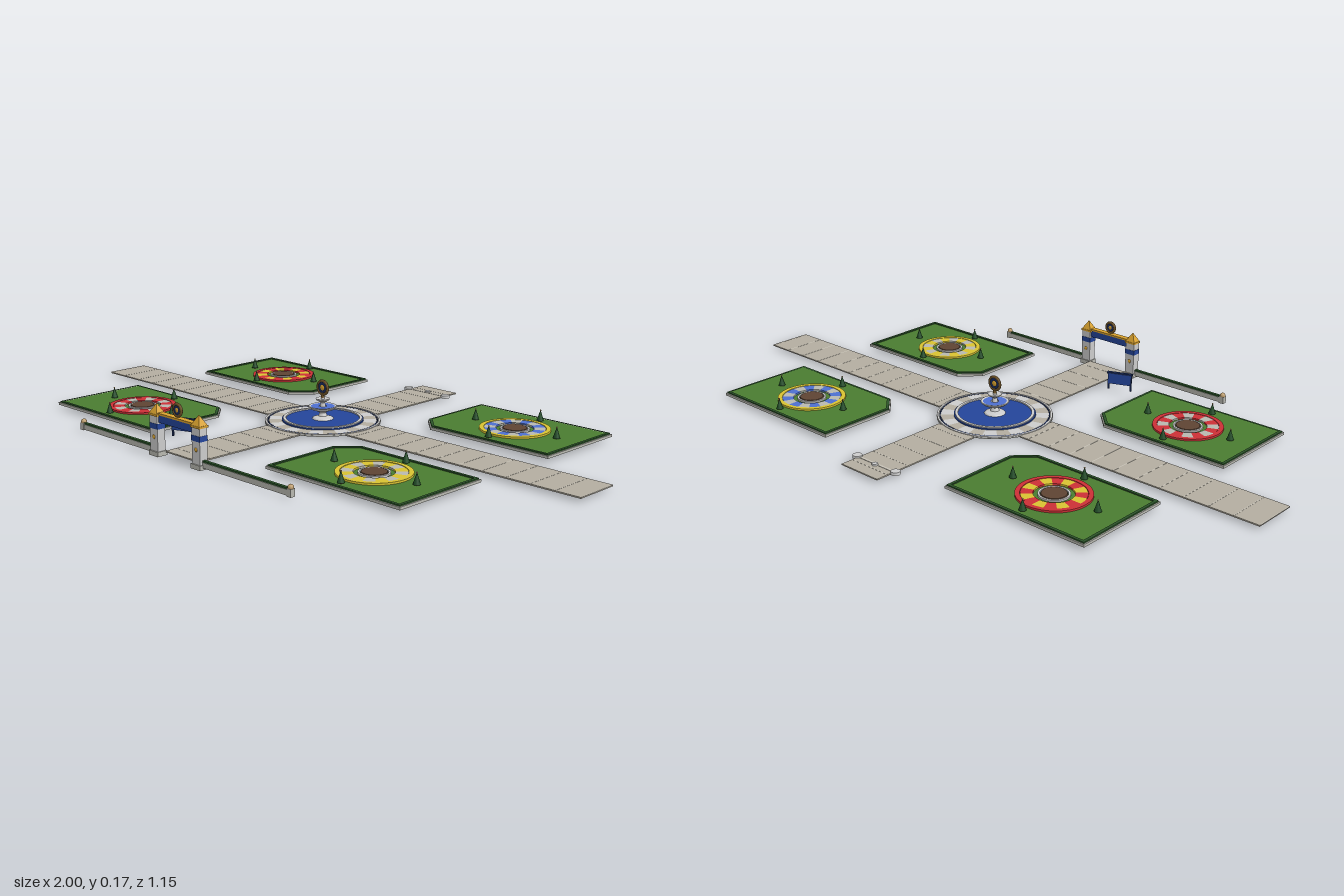
import * as THREE from 'three';

const mats = {};
function mat(color) {
  return mats[color] ??= new THREE.MeshStandardMaterial({ color });
}
const C = {
  stone: 0xcccccc, white: 0xe0e0dc, path: 0xb3ada0, seam: 0xc6c1b6, grass: 0x4a7c30, hedge: 0x2a5228,
  cone: 0x1f4a25, blue: 0x24459a, navy: 0x1a2c5c, gold: 0xd9a22e, bronze: 0x6e5226, tan: 0xc0a070,
  soil: 0x5e4433, red: 0xcc2f36, yellow: 0xd8c232, petal: 0x4d6fd0, grey: 0xb8b8b0, dark: 0x333333,
};

function add(parent, name, geo, color, x = 0, y = 0, z = 0) {
  const m = new THREE.Mesh(geo, mat(color));
  m.name = name;
  m.position.set(x, y, z);
  parent.add(m);
  return m;
}
// Box and cylinder placed by the height of their underside
function box(p, name, w, h, d, color, x = 0, y = 0, z = 0) {
  return add(p, name, new THREE.BoxGeometry(w, h, d), color, x, y + h / 2, z);
}
function cyl(p, name, rTop, rBottom, h, color, x = 0, y = 0, z = 0, n = 32) {
  return add(p, name, new THREE.CylinderGeometry(rTop, rBottom, h, n), color, x, y + h / 2, z);
}
function ball(p, name, r, color, x, y, z) {
  return add(p, name, new THREE.SphereGeometry(r, 12, 8), color, x, y, z);
}
// Flat shape in x / -z, extruded upward
function slab(p, name, shape, h, color, y) {
  const g = new THREE.ExtrudeGeometry(shape, { depth: h, bevelEnabled: false, curveSegments: 48 });
  g.rotateX(-Math.PI / 2);
  return add(p, name, g, color, 0, y, 0);
}
function ringSlab(p, name, r0, r1, h, color, y) {
  const s = new THREE.Shape().absarc(0, 0, r1, 0, Math.PI * 2);
  s.holes.push(new THREE.Path().absarc(0, 0, r0, 0, Math.PI * 2, true));
  return slab(p, name, s, h, color, y);
}
// Ring of alternating coloured blocks
function blocks(p, name, r0, r1, n, colors, h, y) {
  const step = Math.PI * 2 / n;
  for (let i = 0; i < n; i++) {
    const s = new THREE.Shape();
    s.absarc(0, 0, r1, i * step, (i + 1) * step, false);
    s.absarc(0, 0, r0, (i + 1) * step, i * step, true);
    const g = new THREE.ExtrudeGeometry(s, { depth: h, bevelEnabled: false, curveSegments: 4 });
    g.rotateX(-Math.PI / 2);
    add(p, name, g, colors[i % 2], 0, y, 0);
  }
}

// Rectangle with the corner nearest the plaza cut off
function lawnPoints(sx, sz, inset) {
  const w = 0.245 - inset, d = 0.161 - inset, c = 0.06 - inset * 0.6;
  const pts = [[-w, -d], [w - c, -d], [w, c - d], [w, d], [-w, d]];
  // the cut is at (+w, -d); mirror it towards the centre
  return pts.map(([x, z]) => new THREE.Vector2(-sx * x, -sz * z));
}
function lawn(sx, sz, ringColor, colors) {
  const g = new THREE.Group();
  g.name = 'lawn';
  g.position.set(sx * 0.495, 0, sz > 0 ? 0.296 : -0.325);
  const band = (name, a, b, h, color, y) => {
    const s = new THREE.Shape(lawnPoints(sx, sz, a));
    s.holes.push(new THREE.Path(lawnPoints(sx, sz, b)));
    slab(g, name, s, h, color, y);
  };
  slab(g, 'grass', new THREE.Shape(lawnPoints(sx, sz, 0.004)), 0.009, C.grass, 0.011);
  band('kerb', 0, 0.005, 0.008, C.grey, 0.0115);
  band('hedge', 0.004, 0.013, 0.011, C.hedge, 0.0125);

  // Round flower bed
  const bed = new THREE.Group();
  bed.name = 'flowerBed';
  bed.position.x = sx * 0.01;
  g.add(bed);
  ringSlab(bed, 'outerFlowers', 0.093, 0.107, 0.006, ringColor, 0.02);
  blocks(bed, 'flowerBlock', 0.057, 0.092, 16, colors, 0.005, 0.02);
  ringSlab(bed, 'innerEdging', 0.039, 0.045, 0.005, C.white, 0.02);
  cyl(bed, 'soil', 0.036, 0.038, 0.006, C.soil, 0, 0.02);

  // Clipped trees at the four sides
  for (const [x, z] of [[0.15, 0], [-0.15, 0], [0, 0.128], [0, -0.128]]) {
    cyl(bed, 'treeTrunk', 0.003, 0.003, 0.006, C.soil, x, 0.019, z, 8);
    cyl(bed, 'coneTree', 0.001, 0.011, 0.031, C.cone, x, 0.023, z, 12);
    ball(bed, 'treeTip', 0.0025, C.tan, x, 0.055, z);
  }
  return g;
}

function paths() {
  const g = new THREE.Group();
  g.name = 'paths';
  const zc = -0.015, r = 0.17;
  for (const s of [-1, 1]) {
    box(g, 'sidePath', 1 - r, 0.004, 0.148, C.path, s * (1 + r) / 2, 0.009, zc);
    for (let x = 0.2; x < 1; x += 0.08) box(g, 'pathSeam', 0.003, 0.0006, 0.144, C.seam, s * x, 0.0128, zc);
    const end = s > 0 ? 0.545 : -0.575, start = zc + s * r;
    box(g, 'mainPath', 0.148, 0.004, Math.abs(end - start), C.path, 0, 0.009, (end + start) / 2);
    for (let d = 0.2; d < Math.abs(end - zc) - 0.01; d += 0.08)
      box(g, 'pathSeam', 0.144, 0.0006, 0.003, C.seam, 0, 0.0128, zc + s * d);
  }
  // Low stone pads at the back end
  for (const x of [-0.08, 0.08]) cyl(g, 'stonePad', 0.014, 0.015, 0.009, C.white, x, 0.009, -0.51, 20);
  cyl(g, 'stonePad', 0.009, 0.01, 0.008, C.white, 0, 0.01, -0.515, 16);
  box(g, 'padStep', 0.15, 0.002, 0.008, C.seam, 0, 0.012, -0.51);
  return g;
}

function plaza() {
  const g = new THREE.Group();
  g.name = 'plaza';
  g.position.z = -0.015;
  ringSlab(g, 'pavement', 0.11, 0.18, 0.004, C.grey, 0.008);
  ringSlab(g, 'outerKerb', 0.173, 0.179, 0.004, C.stone, 0.011);
  blocks(g, 'pavingBlock', 0.127, 0.167, 24, [C.white, C.path], 0.002, 0.0118);
  ringSlab(g, 'blueInlay', 0.168, 0.171, 0.002, C.navy, 0.012);
  ringSlab(g, 'blueTrim', 0.123, 0.127, 0.007, C.blue, 0.0105);
  ringSlab(g, 'poolRim', 0.114, 0.123, 0.012, C.stone, 0.009);
  cyl(g, 'water', 0.115, 0.115, 0.008, C.blue, 0, 0.009, 0, 48);

  // Two-tier fountain
  const profile = [[0, 0.015], [0.034, 0.016], [0.03, 0.021], [0.014, 0.026], [0.01, 0.036], [0.016, 0.041],
    [0.036, 0.048], [0.045, 0.056], [0.043, 0.058], [0.01, 0.05], [0.007, 0.068], [0.02, 0.076],
    [0.022, 0.081], [0.006, 0.079], [0.005, 0.088], [0, 0.088]].map(([x, y]) => new THREE.Vector2(x, y));
  const f = add(g, 'fountain', new THREE.LatheGeometry(profile, 32).toNonIndexed(), C.stone);
  f.geometry.computeVertexNormals();
  ringSlab(g, 'bowlWater', 0.012, 0.038, 0.001, C.petal, 0.0555);
  medallion(g, 'fountainStatue', 0.115, 0, 0.021);
  cyl(g, 'statueStem', 0.004, 0.006, 0.016, C.bronze, 0, 0.084, 0, 12);
  return g;
}

// Upright round ornament with a gilded rim
function medallion(p, name, y, z, r) {
  const g = new THREE.Group();
  g.name = name;
  g.position.set(0, y, z);
  p.add(g);
  add(g, 'rim', new THREE.TorusGeometry(r, 0.0045, 8, 28), C.bronze);
  const disc = new THREE.CylinderGeometry(r * 0.9, r * 0.9, 0.005, 28).rotateX(Math.PI / 2);
  add(g, 'disc', disc, C.navy);
  ball(g, 'boss', r * 0.5, C.gold, 0, 0, 0).scale.z = 0.5;
}

function gate() {
  const g = new THREE.Group();
  g.name = 'entranceGate';
  g.position.z = 0.557;
  for (const s of [-1, 1]) {
    const x = s * 0.093;
    box(g, 'towerBase', 0.04, 0.014, 0.034, C.grey, x, 0);
    box(g, 'tower', 0.034, 0.108, 0.027, C.white, x, 0.012);
    box(g, 'towerBand', 0.036, 0.016, 0.029, C.blue, x, 0.08);
    box(g, 'towerCornice', 0.039, 0.006, 0.033, C.gold, x, 0.118);
    for (const f of [-1, 1]) ball(g, 'lamp', 0.006, C.gold, x, 0.056, f * 0.0135).scale.z = 0.5;
    // Pyramid roof
    const roof = new THREE.ConeGeometry(0.026, 0.03, 4).rotateY(Math.PI / 4).toNonIndexed();
    roof.computeVertexNormals();
    add(g, 'towerRoof', roof, C.gold, x, 0.138, 0).scale.z = 0.85;

    // Low wall with hedge on each side
    box(g, 'lowWall', 0.345, 0.016, 0.013, C.grey, s * 0.283, 0.006);
    box(g, 'wallHedge', 0.345, 0.006, 0.01, C.hedge, s * 0.283, 0.021);
    box(g, 'endPost', 0.016, 0.022, 0.016, C.grey, s * 0.455, 0.004);
    ball(g, 'postBall', 0.009, C.tan, s * 0.455, 0.029, 0);
  }
  box(g, 'beam', 0.154, 0.024, 0.016, C.blue, 0, 0.1);
  box(g, 'beamTrim', 0.154, 0.006, 0.02, C.gold, 0, 0.122);
  medallion(g, 'gateOrnament', 0.149, 0, 0.017);
  return g;
}

function signBoard() {
  const g = new THREE.Group();
  g.name = 'signBoard';
  g.position.set(-0.157, 0, 0.41);
  g.rotation.y = 0.38;
  box(g, 'board', 0.078, 0.036, 0.006, C.blue, 0, 0.029);
  box(g, 'boardCap', 0.084, 0.005, 0.011, C.navy, 0, 0.064);
  for (const s of [-1, 1]) box(g, 'signLeg', 0.005, 0.056, 0.006, C.navy, s * 0.037, 0.01);
  return g;
}

export function createModel() {
  const model = new THREE.Group();
  model.name = 'formalGarden';
  model.add(paths(), plaza(), gate(), signBoard());
  model.add(lawn(-1, -1, C.red, [C.yellow, C.red]), lawn(1, -1, C.yellow, [C.petal, C.grey]));
  model.add(lawn(-1, 1, C.red, [C.red, C.grey]), lawn(1, 1, C.yellow, [C.yellow, C.grey]));
  return model;
}
